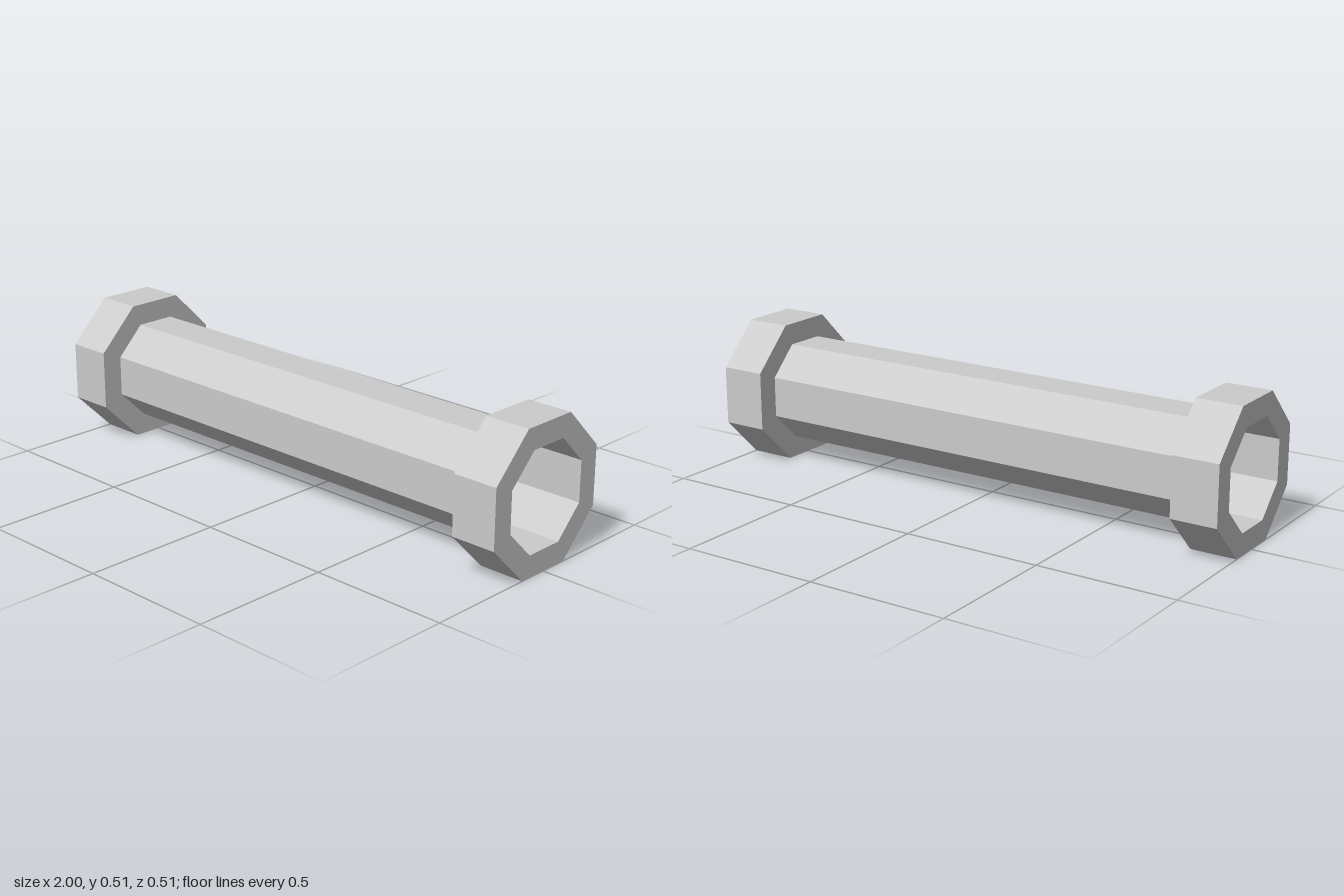
import * as THREE from 'three';

const SIDES = 8;
const TURN = Math.PI / SIDES; // puts flat faces at top, bottom, front and back
const toCorner = (apothem) => apothem / Math.cos(TURN);

const OUTER = toCorner(0.253);
const INNER = toCorner(0.1755);
const COLLAR_LENGTH = 0.165;
const CENTRE_Y = 0.253;

export function createModel() {
  const group = new THREE.Group();
  group.name = 'pipe';
  const solid = new THREE.MeshStandardMaterial({ color: 0xcccccc, flatShading: true });
  const thin = new THREE.MeshStandardMaterial({ color: 0xcccccc, flatShading: true, side: THREE.DoubleSide });

  // Thin open octagonal tube between the collars
  const tubeGeometry = new THREE.CylinderGeometry(
    INNER, INNER, 2 - 2 * COLLAR_LENGTH, SIDES, 1, true, TURN);
  tubeGeometry.rotateZ(Math.PI / 2);
  const tube = new THREE.Mesh(tubeGeometry, thin);
  tube.name = 'tube';
  tube.position.y = CENTRE_Y;
  group.add(tube);

  // Octagonal ring collars at both ends, bored to the tube's width
  const h = COLLAR_LENGTH / 2;
  const profile = [[INNER, -h], [OUTER, -h], [OUTER, h], [INNER, h], [INNER, -h]]
    .map(([r, y]) => new THREE.Vector2(r, y));
  const collarGeometry = new THREE.LatheGeometry(profile, SIDES, TURN);
  collarGeometry.rotateZ(Math.PI / 2);
  for (const side of [-1, 1]) {
    const collar = new THREE.Mesh(collarGeometry, solid);
    collar.name = side > 0 ? 'leftCollar' : 'rightCollar';
    collar.position.set(side * (1 - h), CENTRE_Y, 0);
    group.add(collar);
  }
  return group;
}
